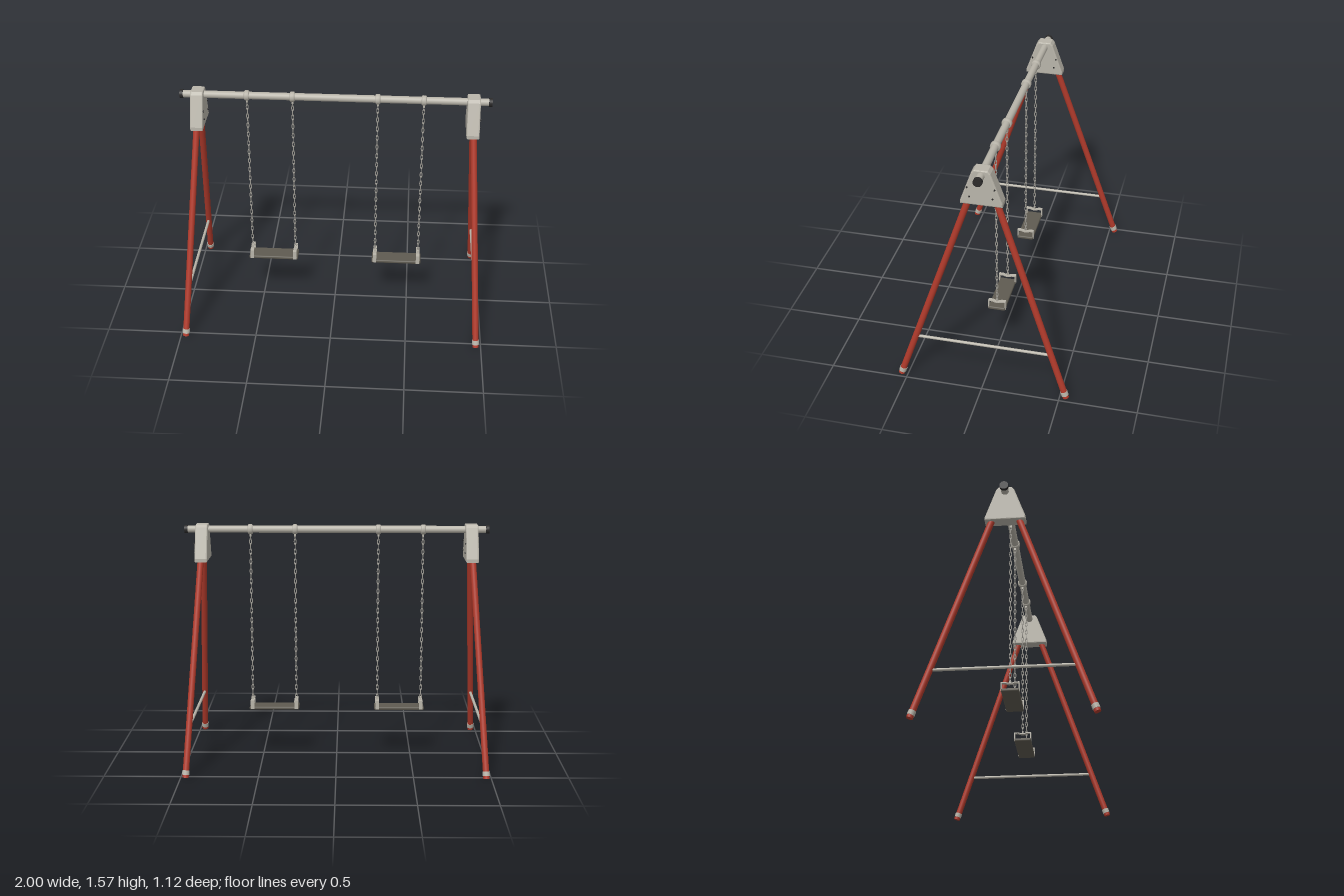
import * as THREE from 'three';
import { RoundedBoxGeometry } from 'three/addons/geometries/RoundedBoxGeometry.js';

function paint(name, color) {
  const m = new THREE.MeshStandardMaterial({ color });
  m.name = name;
  return m;
}

function add(parent, name, geometry, material, x = 0, y = 0, z = 0) {
  const mesh = new THREE.Mesh(geometry, material);
  mesh.name = name;
  mesh.position.set(x, y, z);
  parent.add(mesh);
  return mesh;
}

// Round rod between two points
function rod(parent, name, a, b, radius, material) {
  const dir = b.clone().sub(a);
  const mesh = add(parent, name, new THREE.CylinderGeometry(radius, radius, dir.length(), 24), material);
  mesh.position.copy(a).lerp(b, 0.5);
  mesh.quaternion.setFromUnitVectors(new THREE.Vector3(0, 1, 0), dir.normalize());
  return mesh;
}

// Side profile in the z-y plane, extruded along x and centred
function extrudeAlongX(shape, width, bevel) {
  const g = new THREE.ExtrudeGeometry(shape, {
    depth: width - 2 * bevel, bevelEnabled: bevel > 0,
    bevelSize: bevel, bevelThickness: bevel, bevelSegments: 3, curveSegments: 6,
  });
  g.translate(0, 0, -(width / 2 - bevel));
  g.rotateY(Math.PI / 2);
  return g;
}

const polygon = (pts) => pts.map(([x, y]) => new THREE.Vector2(x, y));

export function createModel() {
  const model = new THREE.Group();
  model.name = 'swingSet';
  const steel = paint('steel', 0xb9b5aa);
  const red = paint('redPaint', 0xb03a2b);
  const black = paint('blackPlastic', 0x2b2a2a);
  const rubber = paint('seatRubber', 0x5f5b51);
  const chainGrey = paint('chainSteel', 0xa5a29a);
  const beamY = 1.54;
  const V = (x, y, z) => new THREE.Vector3(x, y, z);

  // Top beam with end caps
  rod(model, 'topBeam', V(-0.985, beamY, 0), V(0.985, beamY, 0), 0.024, steel);
  for (const s of [-1, 1]) {
    rod(model, 'beamEndCap', V(s * 0.978, beamY, 0), V(s * 1.0, beamY, 0), 0.028, black);
  }

  // Trapezoid corner bracket, drawn inside its bevel
  const bevel = 0.009;
  const bracketShape = new THREE.Shape(polygon([
    [-0.119, 1.347], [0.119, 1.347], [0.119, 1.36], [0.05, 1.552],
    [0.038, 1.566], [-0.038, 1.566], [-0.05, 1.552], [-0.119, 1.36],
  ]));
  const bracketGeo = extrudeAlongX(bracketShape, 0.083, bevel);

  for (const s of [-1, 1]) {
    const frame = new THREE.Group();
    frame.name = s > 0 ? 'leftFrame' : 'rightFrame';
    model.add(frame);
    add(frame, 'cornerBracket', bracketGeo, steel, s * 0.884);

    for (const t of [-1, 1]) {
      // Splayed leg with a collar near the foot
      const top = V(s * 0.882, 1.48, t * 0.042);
      const foot = V(s * 0.966, 0.007, t * 0.541);
      rod(frame, 'leg', foot, top, 0.0205, red);
      rod(frame, 'footCollar', foot.clone().lerp(top, 0.012), foot.clone().lerp(top, 0.031), 0.0235, steel);

      // Bolts sit on the same face of both brackets
      for (const [y, z] of [[1.457, 0.083], [1.395, 0.07]]) {
        const x = s * 0.884 + 0.04;
        rod(frame, 'bolt', V(x, y, t * z), V(x + 0.008, y, t * z), 0.005, black);
      }
    }
    rod(frame, 'crossBrace', V(s * 0.948, 0.315, -0.434), V(s * 0.948, 0.315, 0.434), 0.0095, steel);
  }

  // Oval chain link
  const linkGeo = new THREE.TorusGeometry(0.0068, 0.0027, 6, 14);
  linkGeo.scale(1, 2.5, 1);

  // Strap frame that holds each end of a seat
  const strapShape = new THREE.Shape(polygon([
    [-0.058, 0.326], [0.058, 0.326], [0.058, 0.387], [0.03, 0.387],
    [0.012, 0.38], [-0.012, 0.38], [-0.03, 0.387], [-0.058, 0.387],
  ]));
  strapShape.holes.push(new THREE.Path(polygon([
    [-0.051, 0.333], [-0.051, 0.38], [-0.031, 0.38], [-0.012, 0.373],
    [0.012, 0.373], [0.031, 0.38], [0.051, 0.38], [0.051, 0.333],
  ])));
  const strapGeo = extrudeAlongX(strapShape, 0.024, 0);

  // Two swings
  for (const s of [-1, 1]) {
    const swing = new THREE.Group();
    swing.name = s > 0 ? 'leftSwing' : 'rightSwing';
    swing.position.x = s * 0.421;
    model.add(swing);
    add(swing, 'seat', new RoundedBoxGeometry(0.335, 0.022, 0.112, 3, 0.008), rubber, 0, 0.331, 0);

    for (const t of [-1, 1]) {
      const x = t * 0.147;
      add(swing, 'seatStrap', strapGeo, steel, x);
      add(swing, 'chainShackle', new THREE.BoxGeometry(0.014, 0.024, 0.012), steel, x, 0.386, 0);

      // Collar clamped round the beam, chamfered at its edges
      const collar = add(swing, 'beamCollar', new THREE.LatheGeometry(polygon([
        [0.02, -0.016], [0.027, -0.016], [0.033, -0.01],
        [0.033, 0.01], [0.027, 0.016], [0.02, 0.016],
      ]), 24), steel, x, beamY, 0);
      collar.rotation.z = Math.PI / 2;
      add(swing, 'hangerTab', new THREE.BoxGeometry(0.012, 0.02, 0.016), steel, x, 1.502, 0);

      // Links alternate by a quarter turn
      const count = 34, y0 = 0.4, y1 = 1.49;
      for (let i = 0; i < count; i++) {
        const y = y0 + (y1 - y0) * i / (count - 1);
        add(swing, 'chainLink', linkGeo, chainGrey, x, y, 0).rotation.y = (i % 2) * Math.PI / 2;
      }
    }
  }
  return model;
}
